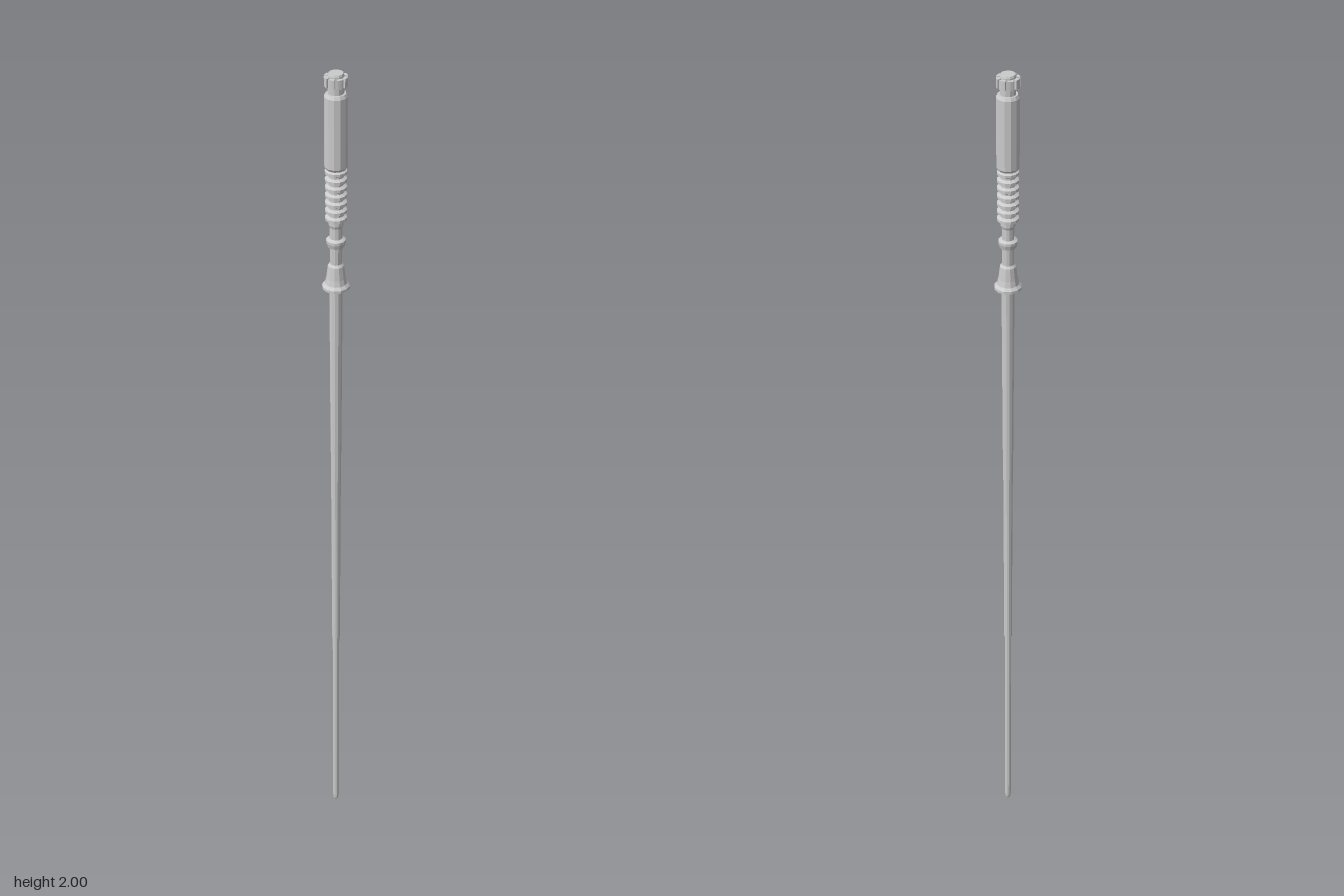
import * as THREE from 'three';

const SIDES = 12;

export function createModel() {
  const group = new THREE.Group();
  const material = new THREE.MeshStandardMaterial({ color: 0xcccccc, flatShading: true });

  const add = (name, geometry, parent = group) => {
    const mesh = new THREE.Mesh(geometry, material);
    mesh.name = name;
    parent.add(mesh);
    return mesh;
  };
  // Turned part from [radius, height] pairs, listed bottom to top
  const turned = (name, profile, parent) =>
    add(name, new THREE.LatheGeometry(profile.map(([r, y]) => new THREE.Vector2(r, y)), SIDES), parent);

  // Tapering shaft, stepped in three sections, with a rounded tip
  turned('tip', [[0, 0], [0.004, 0.001], [0.0065, 0.006], [0.0075, 0.015], [0.0075, 0.09], [0.008, 0.54], [0, 0.54]]);
  turned('middleShaft', [[0, 0.54], [0.0095, 0.54], [0.0115, 1.08], [0, 1.08]]);
  turned('upperShaft', [[0, 1.08], [0.0122, 1.08], [0.0145, 1.51], [0, 1.51]]);

  // Flared guard at the foot of the handle
  turned('guard', [
    [0, 1.508], [0.03, 1.508], [0.03, 1.514], [0.024, 1.52], [0.021, 1.533],
    [0.019, 1.55], [0.0175, 1.562], [0.013, 1.567], [0, 1.567],
  ]);

  // Slim neck with a bead
  turned('neck', [[0, 1.56], [0.0125, 1.56], [0.0135, 1.605], [0.0135, 1.67], [0, 1.67]]);
  turned('bead', [[0.013, 1.606], [0.018, 1.608], [0.021, 1.618], [0.021, 1.624], [0.013, 1.628]]);
  turned('neckCollar', [[0.013, 1.652], [0.016, 1.66], [0.016, 1.668], [0.013, 1.67]]);

  // Ribbed section
  const ribs = new THREE.Group();
  ribs.name = 'ribs';
  group.add(ribs);
  turned('ribCore', [[0, 1.665], [0.0165, 1.665], [0.0165, 1.795], [0, 1.795]], ribs);
  const ribCount = 7;
  for (let i = 0; i < ribCount; i++) {
    const y = 1.675 + i * 0.0178;
    turned('rib', [[0.016, y - 0.007], [0.0235, y - 0.003], [0.0235, y + 0.003], [0.016, y + 0.007]], ribs);
  }

  // Grip with bevelled ends
  turned('grip', [
    [0, 1.789], [0.021, 1.789], [0.0248, 1.795], [0.0248, 1.95], [0.021, 1.957], [0, 1.957],
  ]);

  // Pommel: core ringed by lugs
  turned('pommelCore', [[0, 1.955], [0.017, 1.955], [0.017, 1.996], [0.0155, 2], [0, 2]]);
  const lugs = new THREE.Group();
  lugs.name = 'pommelLugs';
  group.add(lugs);
  const lugCount = 8;
  const half = Math.PI / lugCount * 0.76;
  const shape = new THREE.Shape();
  shape.absarc(0, 0, 0.0245, -half, half, false);
  shape.absarc(0, 0, 0.015, half, -half, true);
  const lug = new THREE.ExtrudeGeometry(shape, { depth: 0.02, bevelEnabled: false, curveSegments: 2 });
  lug.rotateX(-Math.PI / 2);
  for (let i = 0; i < lugCount; i++) {
    const mesh = add('pommelLug', lug, lugs);
    mesh.position.y = 1.973;
    mesh.rotation.y = (i / lugCount) * Math.PI * 2;
  }

  return group;
}
